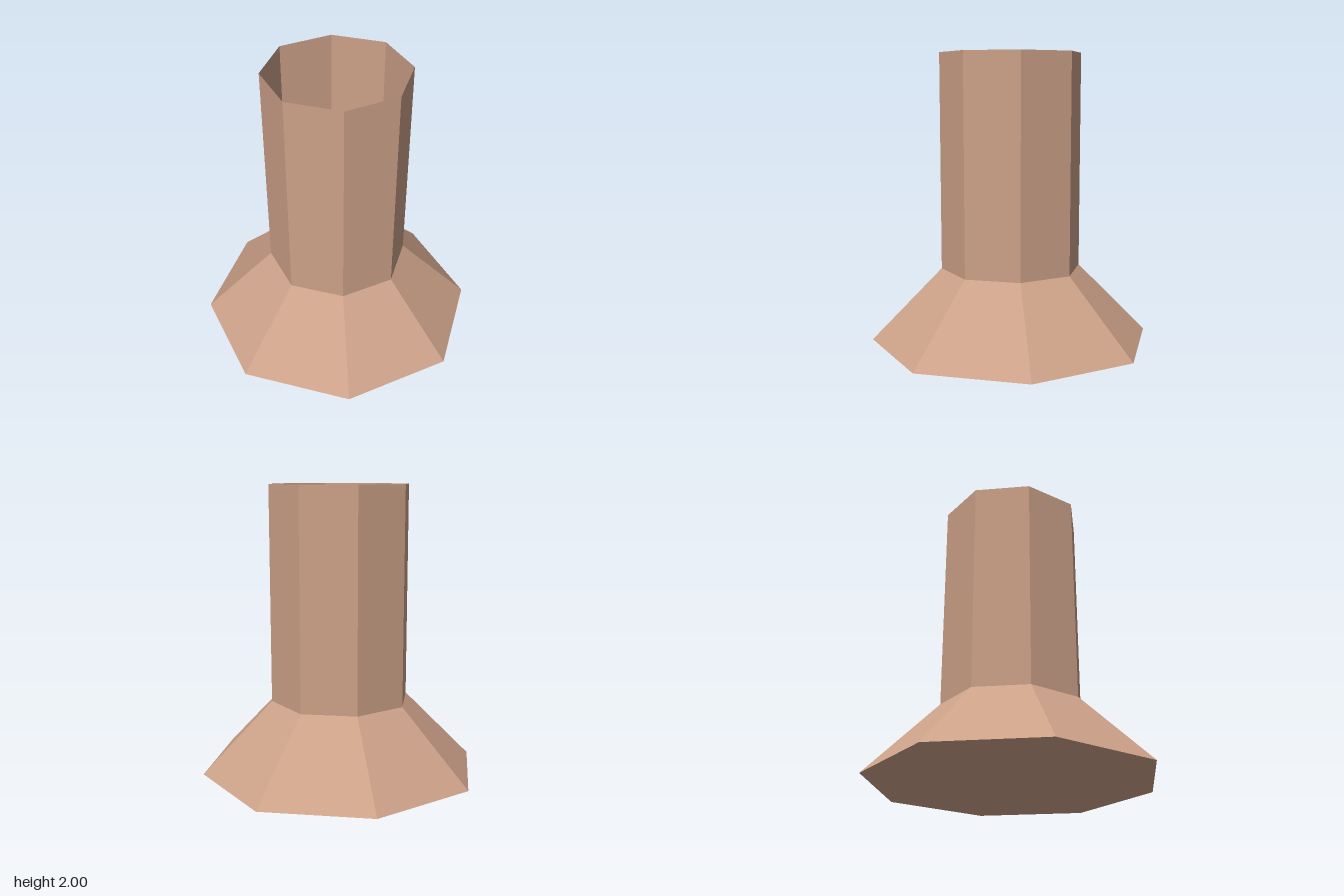
import * as THREE from 'three';

// Open eight-sided ring wall; the diagonal corners sit slightly inward.
function octagonWall(topRadius, bottomRadius, height) {
  const geometry = new THREE.CylinderGeometry(topRadius, bottomRadius, height, 8, 1, true).toNonIndexed();
  const p = geometry.attributes.position;
  for (let i = 0; i < p.count; i++) {
    const x = p.getX(i), z = p.getZ(i);
    const k = Math.abs(x * z) > 0.01 ? 0.983 : 1;
    p.setXYZ(i, x * k, p.getY(i), z * k);
  }
  geometry.computeVertexNormals();
  return geometry;
}

export function createModel() {
  const model = new THREE.Group();
  model.name = 'flaredTube';

  const clay = new THREE.MeshStandardMaterial({ color: 0xcca188, flatShading: true, side: THREE.DoubleSide });
  clay.name = 'clay';

  function addPart(name, topRadius, bottomRadius, bottom, top) {
    const mesh = new THREE.Mesh(octagonWall(topRadius, bottomRadius, top - bottom), clay);
    mesh.name = name;
    mesh.position.y = (bottom + top) / 2;
    model.add(mesh);
  }

  // Flared skirt, open underneath
  addPart('flaredBase', 0.5, 1, 0, 0.5);
  // Straight hollow shaft, open at the top
  addPart('shaft', 0.5, 0.5, 0.5, 2);

  return model;
}
